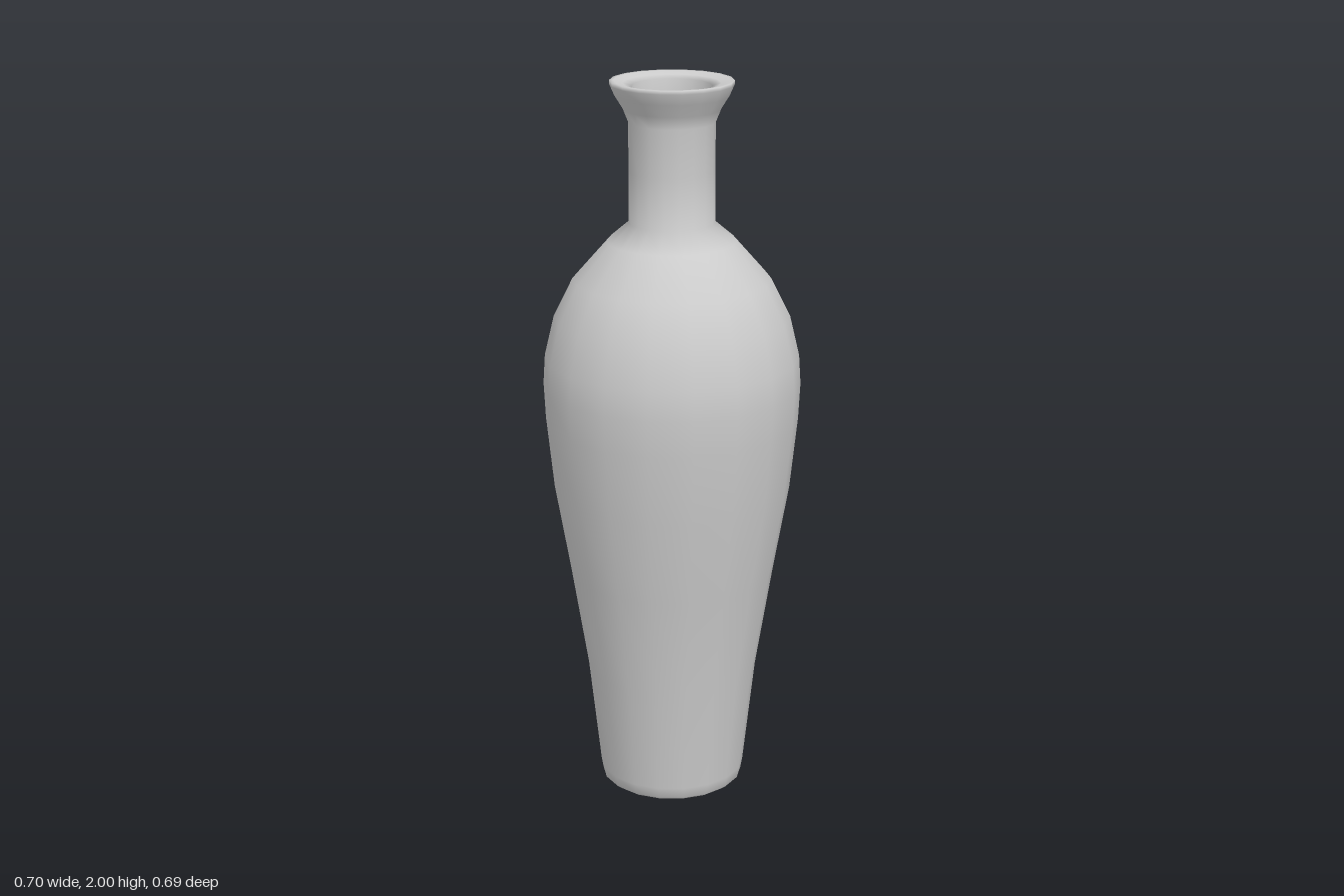
import * as THREE from 'three';

const SIDES = 18;
const WALL = 0.009;

// Outer silhouette as [radius, height], foot to lip
const foot = [[0, 0], [0.185, 0], [0.198, 0.01], [0.203, 0.04]];
const body = [
  [0.236, 0.34], [0.283, 0.63], [0.325, 0.87], [0.346, 1.07], [0.351, 1.17],
  [0.346, 1.25], [0.32, 1.36], [0.268, 1.465], [0.175, 1.57],
];
const neck = [[0.116, 1.62], [0.115, 1.76], [0.116, 1.89]];
const lip = [[0.13, 1.925], [0.152, 1.96], [0.165, 1.99], [0.165, 2]];

// Mouth and hollow inside, lip back down to the inner floor
const mouth = [[0.155, 2], [0.13, 1.993], [0.107, 1.985]];
const inside = [
  [0.107, 1.89], [0.107, 1.62],
  ...body.map(([r, y]) => [r - WALL, y - WALL / 2]).reverse(),
  [0.195, 0.04], [0.18, 0.02], [0, 0.02],
];

export function createModel() {
  const group = new THREE.Group();
  group.name = 'vase';
  const points = [...foot, ...body, ...neck, ...lip, ...mouth, ...inside]
    .map(([r, y]) => new THREE.Vector2(r, y));
  // Start a quarter turn round so that a corner lies on the x axis
  const geometry = new THREE.LatheGeometry(points, SIDES, Math.PI / 2);
  const material = new THREE.MeshStandardMaterial({ color: 0xcccccc });
  const vessel = new THREE.Mesh(geometry, material);
  vessel.name = 'vessel';
  group.add(vessel);
  return group;
}
